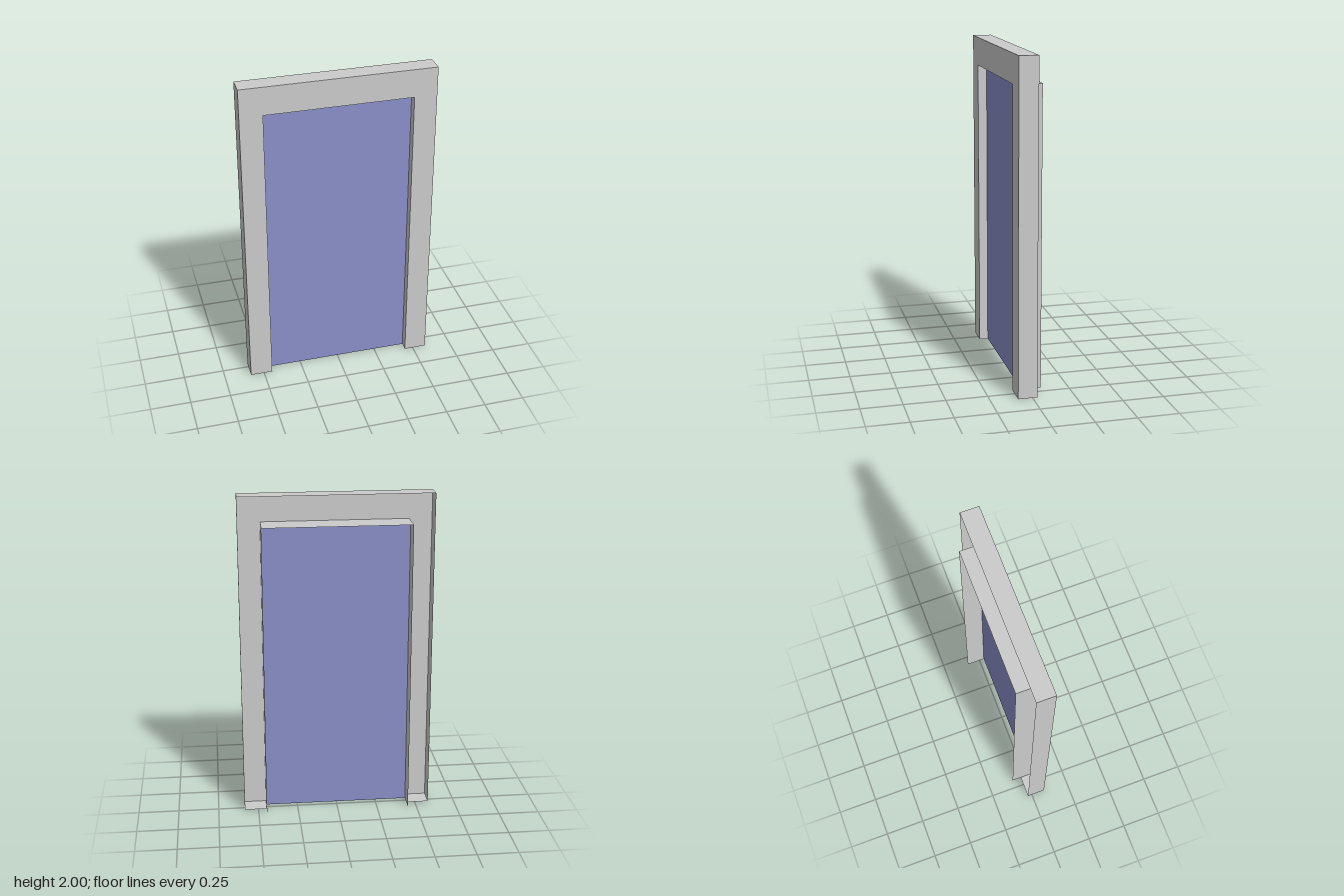
import * as THREE from 'three';

const OUTER_W = 0.585, OUTER_H = 2;      // casing half width, height
const INNER_W = 0.447, INNER_H = 1.826;  // opening half width, height
const FRONT = 0.087, CASING_BACK = -0.028, JAMB_BACK = -0.087, DOOR_Z = 0.032;

const grey = new THREE.MeshStandardMaterial({ color: 0xcccccc, side: THREE.DoubleSide });
const blue = new THREE.MeshStandardMaterial({ color: 0x898fc8, side: THREE.DoubleSide });

export function createModel() {
  const model = new THREE.Group();

  const add = (name, geometry, material = grey, parent = model) => {
    const mesh = new THREE.Mesh(geometry, material);
    mesh.name = name;
    parent.add(mesh);
    return mesh;
  };

  // Thin band of two uprights and a head, running from z = back to the front
  const addBand = (name, halfW, height, back) => {
    const band = new THREE.Group();
    band.name = name;
    const depth = FRONT - back, z = (FRONT + back) / 2;
    for (const s of [-1, 1]) {
      const side = add(s > 0 ? 'leftSide' : 'rightSide',
        new THREE.PlaneGeometry(depth, height).rotateY(s * Math.PI / 2), grey, band);
      side.position.set(s * halfW, height / 2, z);
    }
    const head = add('head', new THREE.PlaneGeometry(halfW * 2, depth).rotateX(-Math.PI / 2), grey, band);
    head.position.set(0, height, z);
    model.add(band);
  };

  // Front face of the casing: an arch around the opening
  const arch = new THREE.Shape([
    [-OUTER_W, 0], [-INNER_W, 0], [-INNER_W, INNER_H], [INNER_W, INNER_H],
    [INNER_W, 0], [OUTER_W, 0], [OUTER_W, OUTER_H], [-OUTER_W, OUTER_H],
  ].map(([x, y]) => new THREE.Vector2(x, y)));
  add('casingFace', new THREE.ShapeGeometry(arch)).position.z = FRONT;

  // Casing return, open at the back, and the deeper jamb lining
  addBand('casingReturn', OUTER_W, OUTER_H, CASING_BACK);
  addBand('jambLining', INNER_W, INNER_H, JAMB_BACK);

  // Feet closing the bottom of each casing upright
  for (const s of [-1, 1]) {
    const foot = add(s > 0 ? 'leftFoot' : 'rightFoot',
      new THREE.PlaneGeometry(OUTER_W - INNER_W, FRONT - CASING_BACK).rotateX(Math.PI / 2));
    foot.position.set(s * (OUTER_W + INNER_W) / 2, 0, (FRONT + CASING_BACK) / 2);
  }

  // Door panel set back in the opening
  add('doorPanel', new THREE.PlaneGeometry(INNER_W * 2, INNER_H), blue)
    .position.set(0, INNER_H / 2, DOOR_Z);

  return model;
}
